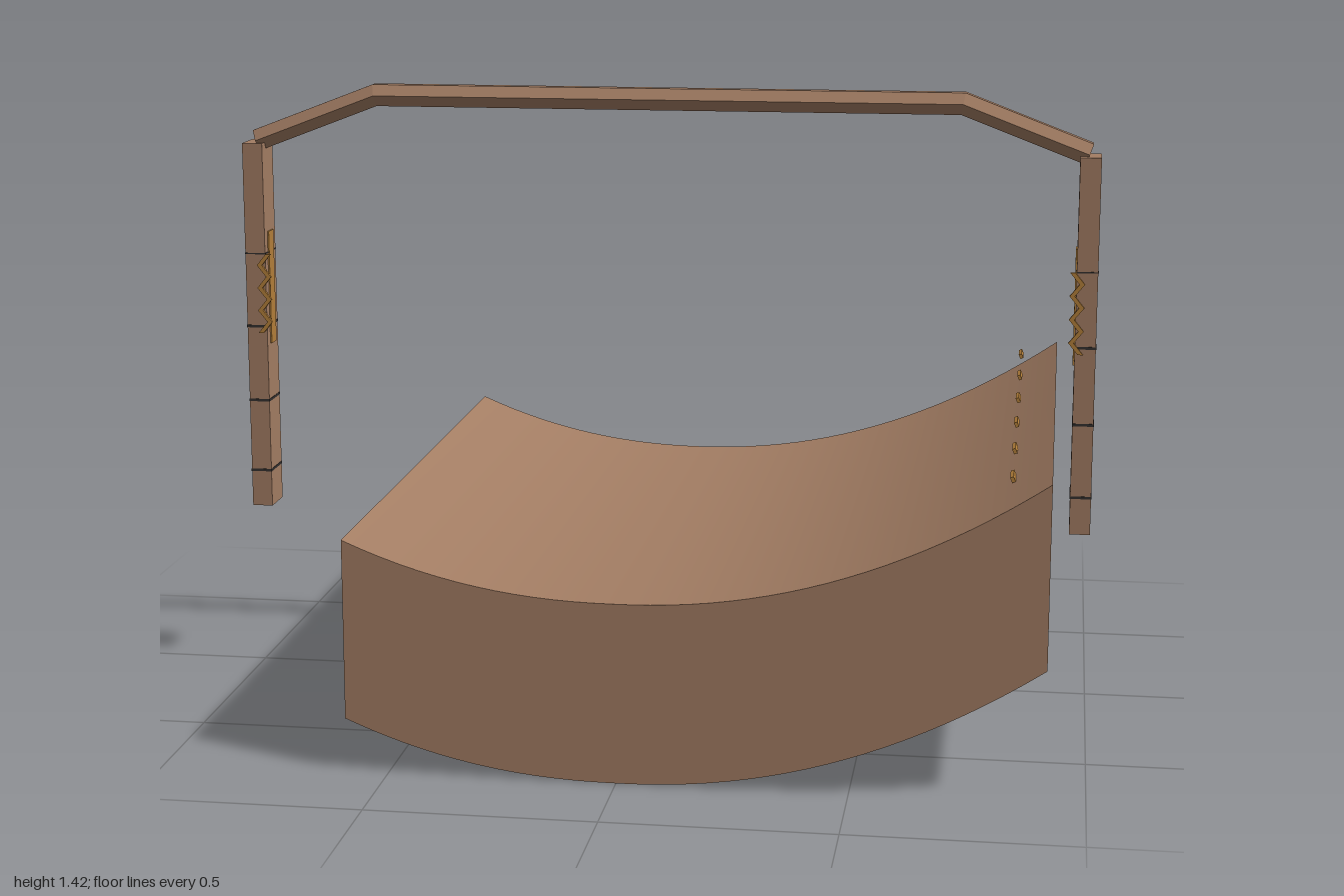
import * as THREE from 'three';

const wood = new THREE.MeshStandardMaterial({ name: 'brown', color: 0xa47e64, side: THREE.DoubleSide });
const gold = new THREE.MeshStandardMaterial({ name: 'gold', color: 0xb5803a });
const dark = new THREE.MeshStandardMaterial({ name: 'dark line', color: 0x33302e });

const X0 = -0.595, X1 = 0.912, Z0 = -0.735, Z1 = 0.765, H = 0.4;
const POST_Z = 0.019;

// height of the bed's lower rim; the high end is slightly twisted
function rim(x, z) {
  if (x < 0) return 0.118 * Math.pow(x / X0, 2.2);
  const t = x / X1;
  return 0.3 * Math.pow(t, 2.1) - 0.01 * z * t;
}

function mesh(name, geometry, material) {
  const m = new THREE.Mesh(geometry, material);
  m.name = name;
  return m;
}

function box(name, w, h, d, material, x, y, z) {
  const m = mesh(name, new THREE.BoxGeometry(w, h, d), material);
  m.position.set(x, y, z);
  return m;
}

// sheet of n segments, each point placed by rule(u, v) with u, v in 0..1
function sheet(name, n, rule) {
  const g = new THREE.PlaneGeometry(1, 1, n, 1);
  const p = g.attributes.position;
  for (let i = 0; i < p.count; i++) p.setXYZ(i, ...rule(p.getX(i) + 0.5, p.getY(i) + 0.5));
  g.computeVertexNormals();
  return mesh(name, g, wood);
}

// curved bed: top and four walls, open underneath
function makeBed() {
  const bed = new THREE.Group();
  bed.name = 'bed';
  const lerp = THREE.MathUtils.lerp;
  const at = (x, z, h) => [x, rim(x, z) + h * H, z];
  bed.add(
    sheet('bedTop', 36, (u, v) => at(lerp(X0, X1, u), lerp(Z1, Z0, v), 1)),
    sheet('bedFront', 36, (u, v) => at(lerp(X0, X1, u), Z1, v)),
    sheet('bedBack', 36, (u, v) => at(lerp(X1, X0, u), Z0, v)),
    sheet('bedHighEnd', 1, (u, v) => at(X1, lerp(Z1, Z0, u), v)),
    sheet('bedLowEnd', 1, (u, v) => at(X0, lerp(Z0, Z1, u), v))
  );
  // row of small bars along the high end
  for (let i = 0; i < 6; i++) {
    const bar = box('edgeBar', 0.008, 0.012, 0.066, gold, 0.821 + i * 0.0012, 0.672 - i * 0.005, -0.738 + i * 0.25);
    bar.rotation.z = 0.4;
    bed.add(bar);
  }
  return bed;
}

// thin zigzag ribbon lying on the front of a post
function zigzag(side) {
  const left = [], right = [];
  for (let i = 0; i < 8; i++) {
    const x = i % 2 ? 0.943 : 0.965, y = 0.83 + i * 0.19 / 7;
    left.push(new THREE.Vector2(side * (x - 0.006), y));
    right.unshift(new THREE.Vector2(side * (x + 0.006), y));
  }
  const g = new THREE.ExtrudeGeometry(new THREE.Shape([...left, ...right]), { depth: 0.007, bevelEnabled: false });
  const m = mesh('zigzag', g, gold);
  m.position.z = 0.063;
  return m;
}

function makePost(side) {
  const post = new THREE.Group();
  post.name = side > 0 ? 'leftPost' : 'rightPost';
  const x = side * 0.976;
  post.add(box('postBody', 0.048, 0.877, 0.088, wood, x, 0.8435, POST_Z));
  // dark bands
  [[1.02, 0.003], [0.845, 0.006], [0.665, 0.006], [0.493, 0.006]].forEach(([y, h]) =>
    post.add(box('band', 0.05, h, 0.09, dark, x, y, POST_Z)));
  // plate on the inner face
  post.add(box('innerPlate', 0.005, 0.27, 0.04, gold, side * 0.951, 0.935, POST_Z), zigzag(side));
  return post;
}

// six-sided bar swept along a bent path with mitred corners
function makeTopBar() {
  const path = [[-0.973, 1.286], [-0.686, 1.396], [0.686, 1.396], [0.973, 1.286]];
  const tilt = Math.atan2(0.11, 0.287);
  const angles = [tilt, tilt / 2, -tilt / 2, -tilt];
  const r = 0.029;
  const g = new THREE.CylinderGeometry(r, r, 3, 6, 3);
  const p = g.attributes.position;
  for (let i = 0; i < p.count; i++) {
    const k = Math.round(p.getY(i) + 1.5);
    const a = angles[k];
    const up = p.getX(i) / (k === 1 || k === 2 ? Math.cos(tilt / 2) : 1);
    // the ring's x axis becomes the path normal
    p.setXYZ(i, path[k][0] - up * Math.sin(a), path[k][1] + up * Math.cos(a), 0.017 + p.getZ(i));
  }
  const flat = g.toNonIndexed();
  // the turn of axes mirrors the tube, so check the winding
  const q = flat.attributes.position;
  const v = (i) => new THREE.Vector3().fromBufferAttribute(q, i);
  let volume = 0;
  for (let i = 0; i < q.count; i += 3) volume += v(i).dot(v(i + 1).cross(v(i + 2)));
  if (volume < 0) {
    for (let i = 0; i < q.count; i += 3) {
      const a = v(i + 1), b = v(i + 2);
      q.setXYZ(i + 1, b.x, b.y, b.z);
      q.setXYZ(i + 2, a.x, a.y, a.z);
    }
  }
  flat.computeVertexNormals();
  return mesh('topBar', flat, wood);
}

export function createModel() {
  const model = new THREE.Group();
  model.name = 'curvedBedWithFrame';
  model.add(makeBed(), makePost(1), makePost(-1), makeTopBar());
  return model;
}
